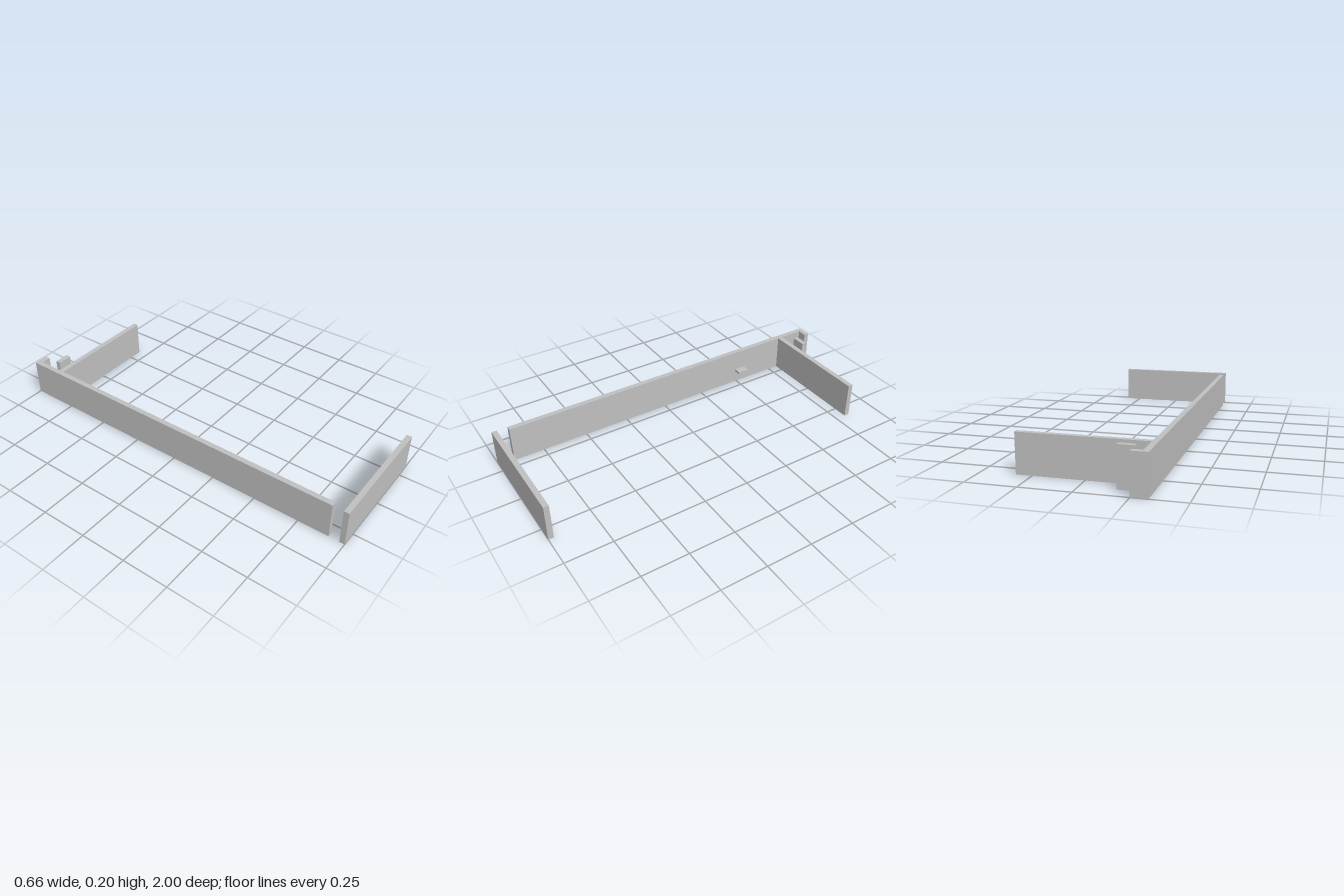
import * as THREE from 'three';

export function createModel() {
  const model = new THREE.Group();
  model.name = 'wallFrame';
  const lightGrey = new THREE.MeshStandardMaterial({ color: 0xc0c0c0 });
  lightGrey.name = 'lightGrey';

  const H = 0.198; // wall height
  const T = 0.028; // wall thickness
  const W = 0.329; // half width

  // Box given by its extents on each axis
  function slab(name, [x0, x1], [z0, z1], [y0, y1] = [0, H]) {
    const mesh = new THREE.Mesh(new THREE.BoxGeometry(x1 - x0, y1 - y0, z1 - z0), lightGrey);
    mesh.position.set((x0 + x1) / 2, (y0 + y1) / 2, (z0 + z1) / 2);
    mesh.name = name;
    model.add(mesh);
  }

  // Main walls
  slab('sideWall', [-W, -W + T], [-1, 0.916]);
  slab('frontWall', [-W, W], [1 - T, 1]);
  slab('crossWall', [-W + T, W], [-0.836, -0.808]);

  // Short return and free-standing post at the back corner
  slab('backReturn', [-W + T, -0.249], [-1, -1 + T]);
  slab('backPost', [-0.249, -0.168], [-0.917, -0.889]);

  // Small ledge on the inner face of the side wall
  slab('ledge', [-W + T, -0.258], [-0.554, -0.49], [0.07, 0.083]);

  return model;
}
